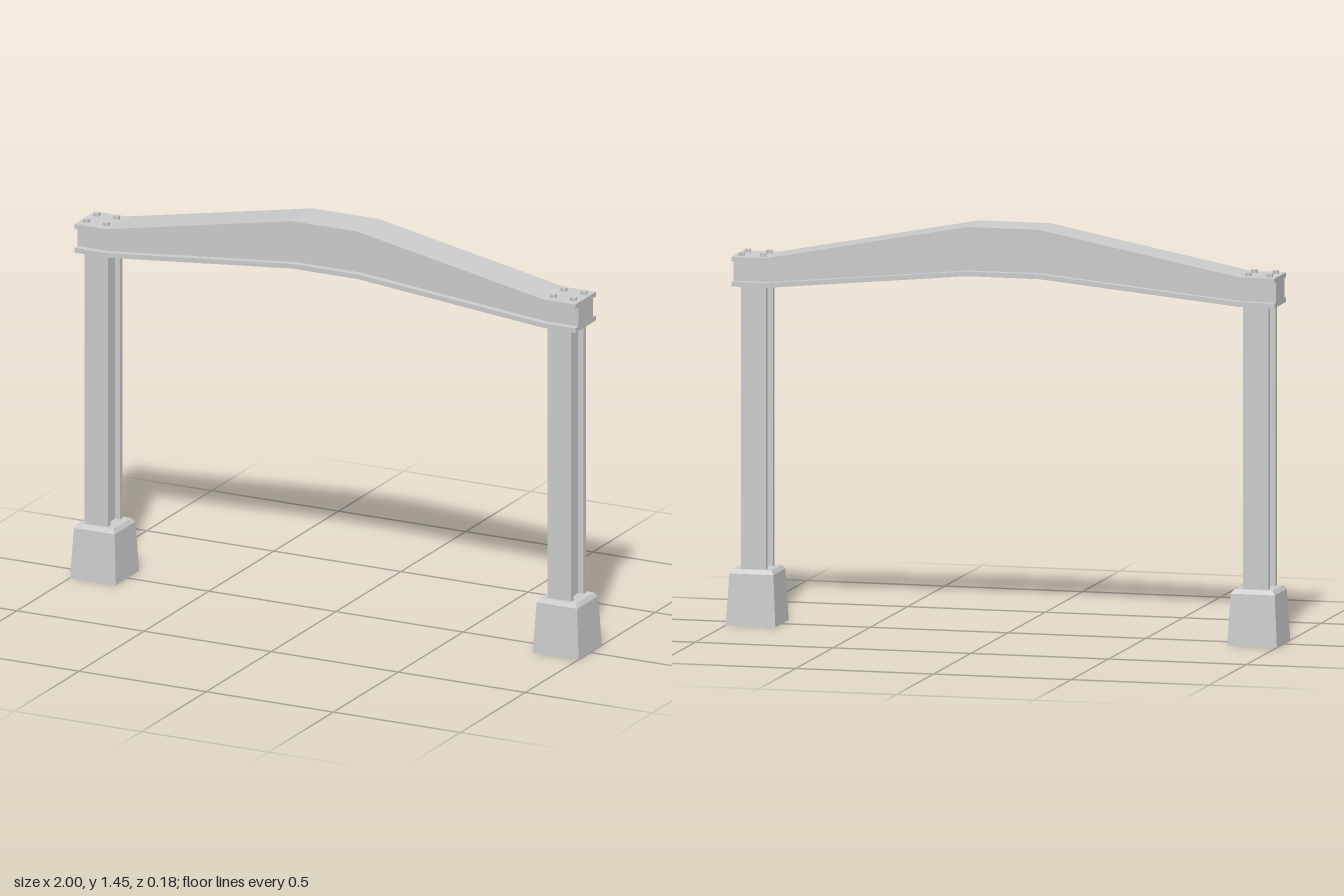
import * as THREE from 'three';

const material = new THREE.MeshStandardMaterial({ color: 0xcccccc, flatShading: true });

function addMesh(parent, name, geometry, x = 0, y = 0, z = 0) {
  const mesh = new THREE.Mesh(geometry, material);
  mesh.name = name;
  mesh.position.set(x, y, z);
  parent.add(mesh);
  return mesh;
}

// Extrude a closed outline of [a, b] points, centred along the depth
function prism(points, depth) {
  const shape = new THREE.Shape(points.map(([a, b]) => new THREE.Vector2(a, b)));
  return new THREE.ExtrudeGeometry(shape, { depth, bevelEnabled: false }).translate(0, 0, -depth / 2);
}

// Band following the beam's arch: heights given at the ends and in the middle
function beamBand(endLow, endHigh, midLow, midHigh, depth) {
  const xs = [-0.985, -0.86, -0.13, 0.13, 0.86, 0.985];
  const line = (end, mid) => xs.map((x) => [x, Math.abs(x) < 0.5 ? mid : end]);
  return prism([...line(endLow, midLow), ...line(endHigh, midHigh).reverse()], depth);
}

// Square lofted block from [height, half width] rings
function footingGeometry() {
  const profile = [[0, 0], [0.09, 0], [0.08, 0.183], [0.07, 0.198], [0, 0.198]];
  const points = profile.map(([h, y]) => new THREE.Vector2(h * Math.SQRT2, y));
  return new THREE.LatheGeometry(points, 4).rotateY(Math.PI / 4);
}

export function createModel() {
  const group = new THREE.Group();
  group.name = 'portalFrame';

  // Steel parts sit slightly off the footings' centre
  const steel = new THREE.Group();
  steel.name = 'steelFrame';
  steel.position.x = -0.003;
  group.add(steel);

  // Arched I-beam
  const beam = new THREE.Group();
  beam.name = 'beam';
  steel.add(beam);
  addMesh(beam, 'topFlange', beamBand(1.288, 1.305, 1.428, 1.445, 0.16));
  addMesh(beam, 'beamWeb', beamBand(1.217, 1.288, 1.287, 1.428, 0.11));
  addMesh(beam, 'bottomFlange', beamBand(1.2, 1.217, 1.27, 1.287, 0.16));

  // I-shaped column section, flanges facing front and back
  const w = 0.046, d = 0.057, web = 0.025, inner = 0.037;
  const section = [
    [-w, -d], [w, -d], [w, -inner], [web, -inner], [web, inner], [w, inner],
    [w, d], [-w, d], [-w, inner], [-web, inner], [-web, -inner], [-w, -inner],
  ];
  const columnGeometry = prism(section, 1.01).rotateX(-Math.PI / 2);
  const boltGeometry = new THREE.CylinderGeometry(0.012, 0.012, 0.02, 6);

  for (const side of [-1, 1]) {
    const label = side > 0 ? 'left' : 'right';
    addMesh(group, label + 'Footing', footingGeometry(), side * 0.91);
    addMesh(steel, label + 'Column', columnGeometry, side * 0.911, 0.695);

    // Four bolts on each beam end
    for (const x of [0.88, 0.958]) {
      for (const z of [-0.04, 0.04]) addMesh(steel, label + 'Bolt', boltGeometry, side * x, 1.307, z);
    }
  }
  return group;
}
